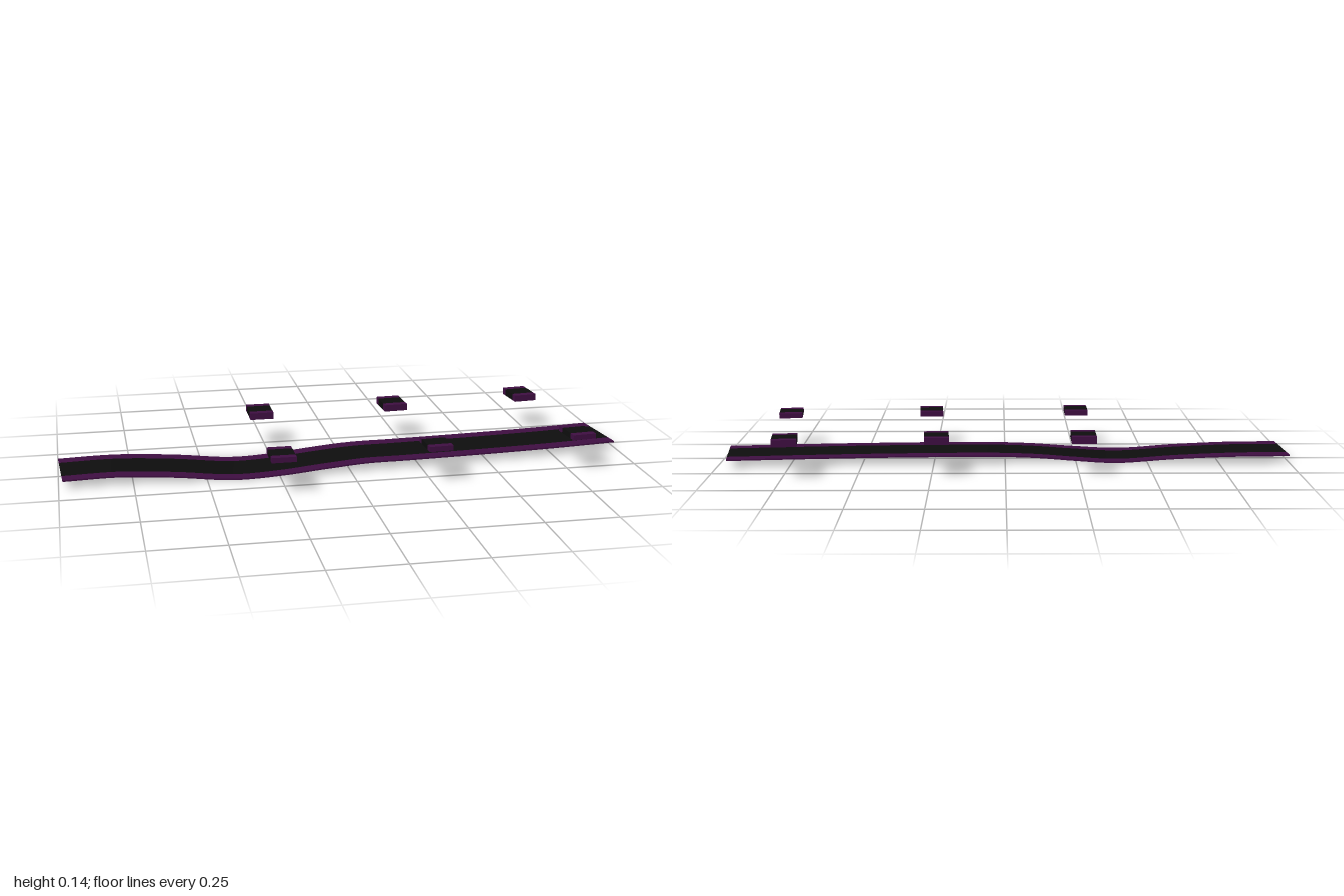
import * as THREE from 'three';

const black = new THREE.MeshStandardMaterial({ name: 'black', color: 0x0d0d0d });
const purple = new THREE.MeshStandardMaterial({ name: 'purple', color: 0x3e0e41 });

// Centre line of the track
const path = new THREE.CatmullRomCurve3([
  [-0.992, 0.0305, 0.02], [-0.8, 0.0305, 0.01], [-0.6, 0.02, 0.019],
  [-0.4, 0.0035, 0.034], [-0.25, 0.01, 0.039], [-0.1, 0.022, 0.033],
  [0.05, 0.029, 0.02], [0.2, 0.0295, 0.016], [0.5, 0.0295, 0.0],
  [0.75, 0.029, -0.02], [0.978, 0.029, -0.045],
].map((p) => new THREE.Vector3(...p)));

// Bands across a part of the given width: dark middle, purple borders
function bands(width, darkShare) {
  const edge = width * (1 - darkShare) / 2;
  const offset = (width - edge) / 2;
  return [
    { name: 'Middle', material: black, size: width * darkShare, offset: 0 },
    { name: 'FrontBorder', material: purple, size: edge, offset },
    { name: 'BackBorder', material: purple, size: edge, offset: -offset },
  ];
}

// Bend a long thin box along the centre line
function trackStrip(size, offset) {
  const geometry = new THREE.BoxGeometry(1, 0.005, size, 64, 1, 1);
  const pos = geometry.attributes.position;
  for (let i = 0; i < pos.count; i++) {
    const u = THREE.MathUtils.clamp(pos.getX(i) + 0.5, 0, 1);
    const p = path.getPointAt(u);
    const t = path.getTangentAt(u);
    const side = new THREE.Vector3(-t.z, 0, t.x).normalize();
    p.addScaledVector(side, pos.getZ(i) + offset);
    pos.setXYZ(i, p.x, p.y + pos.getY(i), p.z);
  }
  geometry.computeVertexNormals();
  return geometry;
}

export function createModel() {
  const model = new THREE.Group();
  model.name = 'trackWithPads';

  // Undulating track
  const track = new THREE.Group();
  track.name = 'track';
  for (const b of bands(0.242, 0.6)) {
    const mesh = new THREE.Mesh(trackStrip(b.size, b.offset), b.material);
    mesh.name = 'track' + b.name;
    track.add(mesh);
  }
  model.add(track);

  // Floating pads on both sides: x, y, z, thickness, turn
  const pads = [
    [-0.265, 0.124, -0.237, 0.024, 0],
    [0.234, 0.124, -0.251, 0.024, 0.05],
    [0.743, 0.124, -0.286, 0.024, 0.09],
    [-0.265, 0.124, 0.281, 0.018, 0],
    [0.272, 0.124, 0.263, 0.018, 0.05],
    [0.79, 0.124, 0.229, 0.018, 0.09],
  ];
  pads.forEach(([x, y, z, thickness, turn], i) => {
    const pad = new THREE.Group();
    pad.name = 'pad' + (i + 1);
    for (const b of bands(0.12, 0.56)) {
      const mesh = new THREE.Mesh(new THREE.BoxGeometry(0.084, thickness, b.size), b.material);
      mesh.name = 'pad' + b.name;
      mesh.position.z = b.offset;
      pad.add(mesh);
    }
    pad.position.set(x, y, z);
    pad.rotation.y = turn;
    model.add(pad);
  });
  return model;
}
